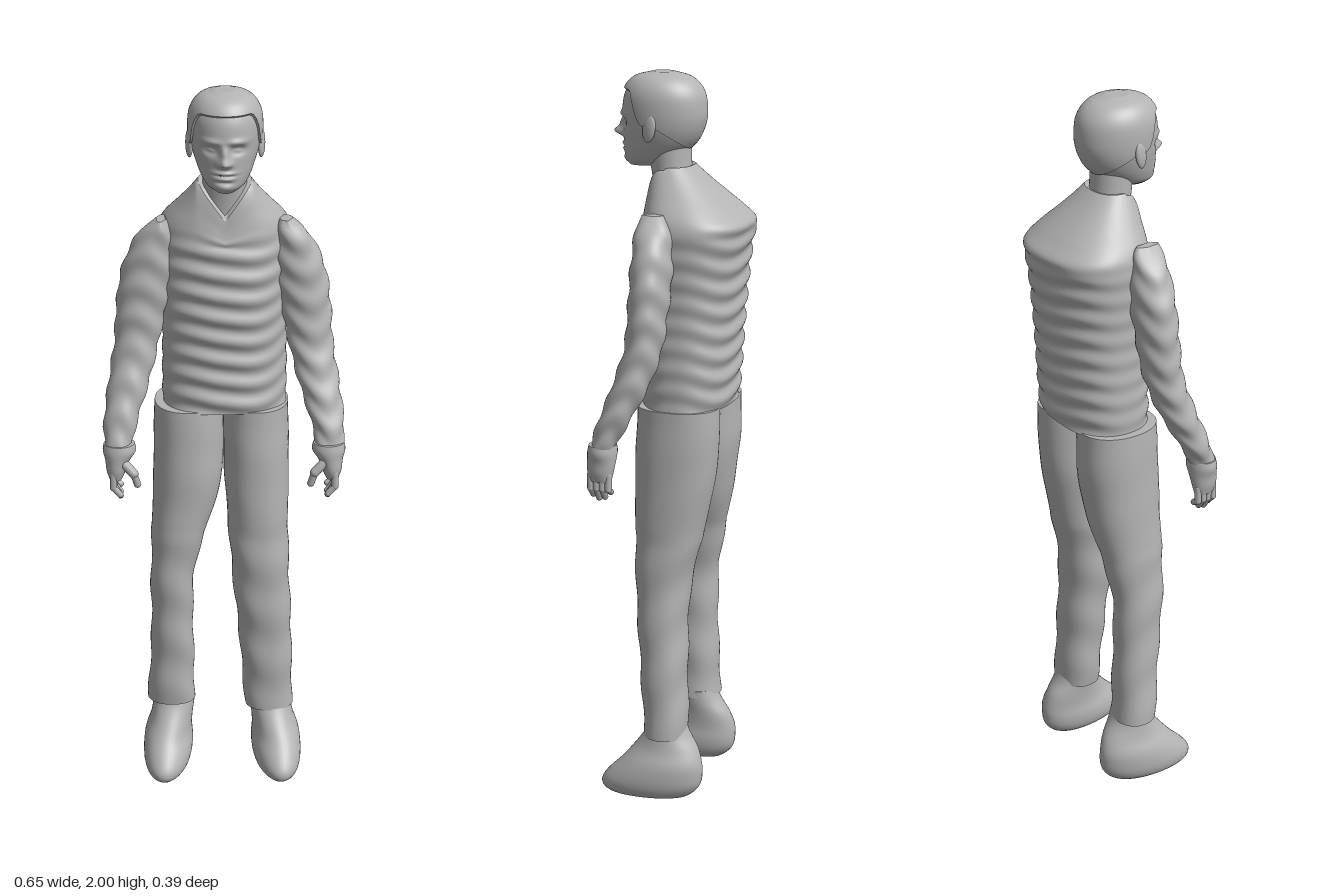
import * as THREE from 'three';

const grey = new THREE.MeshStandardMaterial({ color: 0xb4b4b4 });
grey.name = 'plain grey';

// Smoothly interpolated cross-section [y, centreX, halfWidth, zFront, zBack] at height y
function section(keys, y) {
  let i = 0;
  while (i < keys.length - 2 && y > keys[i + 1][0]) i++;
  const a = keys[i], b = keys[i + 1], h = b[0] - a[0];
  const t = THREE.MathUtils.clamp((y - a[0]) / h, 0, 1);
  const p = keys[Math.max(i - 1, 0)], n = keys[Math.min(i + 2, keys.length - 1)];
  return a.map((v, k) => {
    const m0 = (b[k] - p[k]) / (b[0] - p[0]) * h, m1 = (n[k] - v) / (n[0] - a[0]) * h;
    const t2 = t * t, t3 = t2 * t;
    return (2 * t3 - 3 * t2 + 1) * v + (t3 - 2 * t2 + t) * m0 + (3 * t2 - 2 * t3) * b[k] + (t3 - t2) * m1;
  });
}

// Closed loft through the cross-sections; power < 1 squares the outline off
function loft(name, keys, { rows = 32, sides = 40, power = 1, deform = null, yAt = null, grow = 0 } = {}) {
  const y0 = keys[0][0], y1 = keys[keys.length - 1][0];
  const pos = [], idx = [];
  const soft = v => Math.sign(v) * Math.abs(v) ** power;
  for (let i = 0; i <= rows; i++) {
    for (let j = 0; j < sides; j++) {
      const a = j / sides * Math.PI * 2;
      const y = yAt ? yAt(i / rows, a) : y0 + (y1 - y0) * i / rows;
      const [, cx, hw, zf, zb] = section(keys, y);
      const p = new THREE.Vector3(
        cx + (hw + grow) * soft(Math.sin(a)), y + (y > 1.9 ? grow : 0),
        (zf + zb) / 2 + ((zf - zb) / 2 + grow) * soft(Math.cos(a)));
      if (deform) deform(p, a);
      pos.push(p.x, p.y, p.z);
      if (i < rows) {
        const k = i * sides + j, l = i * sides + (j + 1) % sides;
        idx.push(k, l, k + sides, l, l + sides, k + sides);
      }
    }
  }
  // End caps on their own ring, so the rims stay crisp
  for (const [row, up] of [[0, false], [rows, true]]) {
    const start = pos.length / 3, c = [0, 0, 0];
    for (let j = 0; j < sides; j++) for (let k = 0; k < 3; k++) {
      const v = pos[(row * sides + j) * 3 + k];
      pos.push(v);
      c[k] += v / sides;
    }
    pos.push(...c);
    for (let j = 0; j < sides; j++) {
      const k = start + j, l = start + (j + 1) % sides;
      idx.push(start + sides, up ? k : l, up ? l : k);
    }
  }
  const g = new THREE.BufferGeometry();
  g.setAttribute('position', new THREE.Float32BufferAttribute(pos, 3));
  g.setIndex(idx);
  g.computeVertexNormals();
  return mesh(name, g);
}

function mesh(name, geometry) {
  const m = new THREE.Mesh(geometry, grey);
  m.name = name;
  return m;
}

// Rounded rod between two points
function rod(name, from, to, r) {
  const a = new THREE.Vector3(...from), b = new THREE.Vector3(...to), d = b.clone().sub(a);
  const m = mesh(name, new THREE.CapsuleGeometry(r, d.length(), 5, 10));
  m.position.copy(a).add(b).multiplyScalar(0.5);
  m.quaternion.setFromUnitVectors(new THREE.Vector3(0, 1, 0), d.normalize());
  return m;
}

const bump = (x, y, cx, cy, sx, sy) => Math.exp(-(((x - cx) / sx) ** 2) - ((y - cy) / sy) ** 2);

// Face relief: brow, sockets, eyeballs, nose, lips and chin
function face(p, a) {
  if (Math.cos(a) < 0.1) return;
  const x = Math.abs(p.x), y = p.y;
  p.z += 0.007 * bump(x, y, 0.035, 1.888, 0.028, 0.009)
    - 0.014 * bump(x, y, 0.035, 1.866, 0.019, 0.012)
    + 0.007 * bump(x, y, 0.035, 1.865, 0.011, 0.006)
    + 0.030 * bump(x, y, 0, 1.836, 0.013, 0.012)
    + 0.017 * bump(x, y, 0, 1.858, 0.010, 0.018)
    + 0.008 * bump(x, y, 0.014, 1.832, 0.008, 0.007)
    + 0.007 * bump(x, y, 0, 1.807, 0.026, 0.005)
    - 0.005 * bump(x, y, 0, 1.800, 0.026, 0.003)
    + 0.006 * bump(x, y, 0, 1.792, 0.022, 0.005)
    - 0.005 * bump(x, y, 0, 1.781, 0.022, 0.005)
    + 0.004 * bump(x, y, 0, 1.767, 0.022, 0.009);
}

function buildHead() {
  const head = new THREE.Group();
  head.name = 'head';
  const skull = [
    [1.750, 0.004, 0.026, 0.150, 0.070], [1.765, 0.004, 0.050, 0.161, 0.030],
    [1.790, 0.004, 0.066, 0.164, -0.005], [1.820, 0.004, 0.078, 0.164, -0.035],
    [1.850, 0.004, 0.087, 0.164, -0.050], [1.880, 0.004, 0.091, 0.166, -0.058],
    [1.910, 0.004, 0.092, 0.166, -0.058], [1.940, 0.004, 0.088, 0.160, -0.052],
    [1.965, 0.004, 0.076, 0.146, -0.036], [1.983, 0.004, 0.056, 0.122, -0.010],
    [1.994, 0.004, 0.022, 0.080, 0.030]];
  head.add(loft('face', skull, { rows: 90, sides: 96, deform: face }));
  // Hair cap: high over the forehead, down past the temples to the nape
  const hairline = a => {
    const c = Math.cos(a);
    return c > 0 ? 1.865 + 0.085 * THREE.MathUtils.smoothstep(c, 0.25, 0.7) : 1.865 + 0.065 * c;
  };
  head.add(loft('hair', skull, {
    rows: 24, sides: 72, grow: 0.006,
    yAt: (v, a) => THREE.MathUtils.lerp(hairline(a), 1.994, Math.sin(v * Math.PI / 2)),
  }));
  for (const s of [-1, 1]) {
    const ear = mesh('ear', new THREE.SphereGeometry(1, 16, 12));
    ear.scale.set(0.009, 0.038, 0.02);
    ear.position.set(0.004 + s * 0.093, 1.86, 0.062);
    ear.rotation.set(-0.15, s * -0.3, 0);
    head.add(ear);
  }
  head.add(loft('neck', [
    [1.60, 0.002, 0.066, 0.075, -0.04], [1.68, 0.002, 0.062, 0.078, -0.03],
    [1.75, 0.003, 0.058, 0.088, -0.022], [1.82, 0.004, 0.058, 0.10, -0.02]], { rows: 10 }));
  return head;
}

function buildArm(s) {
  const arm = new THREE.Group();
  arm.name = s > 0 ? 'leftArm' : 'rightArm';
  const side = keys => keys.map(([y, x, ...r]) => [y, x * s, ...r]);
  arm.add(loft('sleeve', side([
    [1.04, 0.285, 0.037, 0.158, 0.092], [1.10, 0.278, 0.045, 0.142, 0.06],
    [1.20, 0.255, 0.055, 0.108, 0.01], [1.30, 0.234, 0.060, 0.080, -0.02],
    [1.40, 0.220, 0.067, 0.073, -0.031], [1.50, 0.202, 0.070, 0.072, -0.036],
    [1.58, 0.186, 0.054, 0.070, -0.03], [1.62, 0.173, 0.036, 0.067, -0.02],
    [1.645, 0.165, 0.014, 0.058, -0.003]]), {
    rows: 56, deform: (p, a) => {
      // Cloth creases
      const w = 0.003 * Math.sin(p.y * 75 + 2 * Math.sin(a * 2 + s));
      p.x += w * Math.sin(a);
      p.z += w * Math.cos(a);
    },
  }));
  arm.add(loft('palm', side([
    [0.945, 0.293, 0.018, 0.160, 0.10], [0.97, 0.291, 0.027, 0.167, 0.095],
    [1.00, 0.287, 0.034, 0.168, 0.090], [1.025, 0.282, 0.045, 0.168, 0.088],
    [1.045, 0.282, 0.042, 0.164, 0.090]]), { rows: 14, sides: 28 }));
  const tips = [0.905, 0.89, 0.886, 0.895];
  tips.forEach((tip, i) => {
    const z = 0.106 + i * 0.0165;
    arm.add(rod('fingerBase', [s * 0.298, 0.965, z], [s * 0.299, 0.925, z], 0.0098));
    arm.add(rod('fingerTip', [s * 0.299, 0.925, z], [s * 0.281, tip + 0.009, z], 0.0088));
  });
  arm.add(rod('thumbBase', [s * 0.275, 1.0, 0.15], [s * 0.244, 0.968, 0.158], 0.013));
  arm.add(rod('thumbTip', [s * 0.244, 0.968, 0.158], [s * 0.234, 0.935, 0.155], 0.01));
  return arm;
}

function buildLeg(name, keys, footX, s) {
  const leg = new THREE.Group();
  leg.name = name;
  leg.add(loft('trouserLeg', keys, {
    rows: 48, power: 0.92, deform: (p, a) => {
      const w = 0.0025 * Math.sin(p.y * 38 + 2 * Math.sin(a + s)) * (p.y < 0.75 ? 1 : 0.3);
      p.x += w * Math.sin(a);
      p.z += w * Math.cos(a);
    },
  }));
  leg.add(loft('shoe', [
    [0.000, footX, 0.048, 0.168, -0.062], [0.012, footX, 0.060, 0.182, -0.080],
    [0.035, footX, 0.068, 0.182, -0.098], [0.065, footX, 0.070, 0.160, -0.104],
    [0.100, footX, 0.066, 0.125, -0.102], [0.140, footX - s * 0.008, 0.060, 0.092, -0.088],
    [0.180, footX - s * 0.014, 0.059, 0.064, -0.062], [0.215, footX - s * 0.016, 0.058, 0.050, -0.048]],
  { rows: 30, deform: p => { p.x += s * 0.08 * (p.z - 0.04); } }));
  return leg;
}

export function createModel() {
  const model = new THREE.Group();
  model.name = 'standingMan';
  model.add(buildHead());

  // Padded top with a hunched upper back and a V-shaped neckline
  model.add(loft('torso', [
    [1.11, 0.003, 0.168, 0.098, -0.142], [1.20, 0.003, 0.169, 0.098, -0.150],
    [1.30, 0.003, 0.168, 0.100, -0.157], [1.40, 0.003, 0.169, 0.104, -0.165],
    [1.50, 0.003, 0.174, 0.104, -0.174], [1.58, 0.003, 0.177, 0.100, -0.186],
    [1.61, 0.003, 0.175, 0.098, -0.192], [1.64, 0.003, 0.160, 0.094, -0.160],
    [1.68, 0.003, 0.126, 0.090, -0.113], [1.72, 0.003, 0.094, 0.088, -0.066],
    [1.755, 0.003, 0.070, 0.086, -0.028]], {
    rows: 90, sides: 72, power: 0.86, deform: (p, a) => {
      const fade = 1 - THREE.MathUtils.smoothstep(p.y, 1.56, 1.64);
      const w = 0.005 * fade * Math.sin(p.y * 105 + 1.2 * Math.sin(a * 3) + 0.8 * Math.cos(a * 2));
      p.z += w * Math.cos(a);
      p.x += 0.3 * w * Math.sin(a);
      const dip = Math.max(0, 1 - Math.abs(p.x - 0.003) / 0.075) * (Math.cos(a) > 0 ? 1 : 0);
      if (p.y > 1.58) p.y -= (p.y - 1.58) * 0.58 * dip;
    },
  }));

  for (const s of [-1, 1]) model.add(buildArm(s));

  // Legs stand a little unevenly
  model.add(buildLeg('rightLeg', [
    [0.195, -0.150, 0.067, 0.064, -0.056], [0.40, -0.145, 0.060, 0.080, -0.050],
    [0.58, -0.144, 0.060, 0.094, -0.052], [0.70, -0.131, 0.070, 0.099, -0.074],
    [0.82, -0.109, 0.088, 0.101, -0.102], [0.92, -0.097, 0.096, 0.102, -0.120],
    [1.00, -0.096, 0.096, 0.100, -0.129], [1.115, -0.094, 0.094, 0.094, -0.130]], -0.160, -1));
  model.add(buildLeg('leftLeg', [
    [0.175, 0.130, 0.068, 0.064, -0.056], [0.40, 0.119, 0.074, 0.080, -0.050],
    [0.58, 0.106, 0.079, 0.094, -0.052], [0.70, 0.099, 0.082, 0.099, -0.074],
    [0.82, 0.094, 0.086, 0.101, -0.102], [0.92, 0.091, 0.090, 0.102, -0.120],
    [1.00, 0.090, 0.090, 0.100, -0.129], [1.115, 0.089, 0.089, 0.094, -0.130]], 0.152, 1));
  return model;
}
